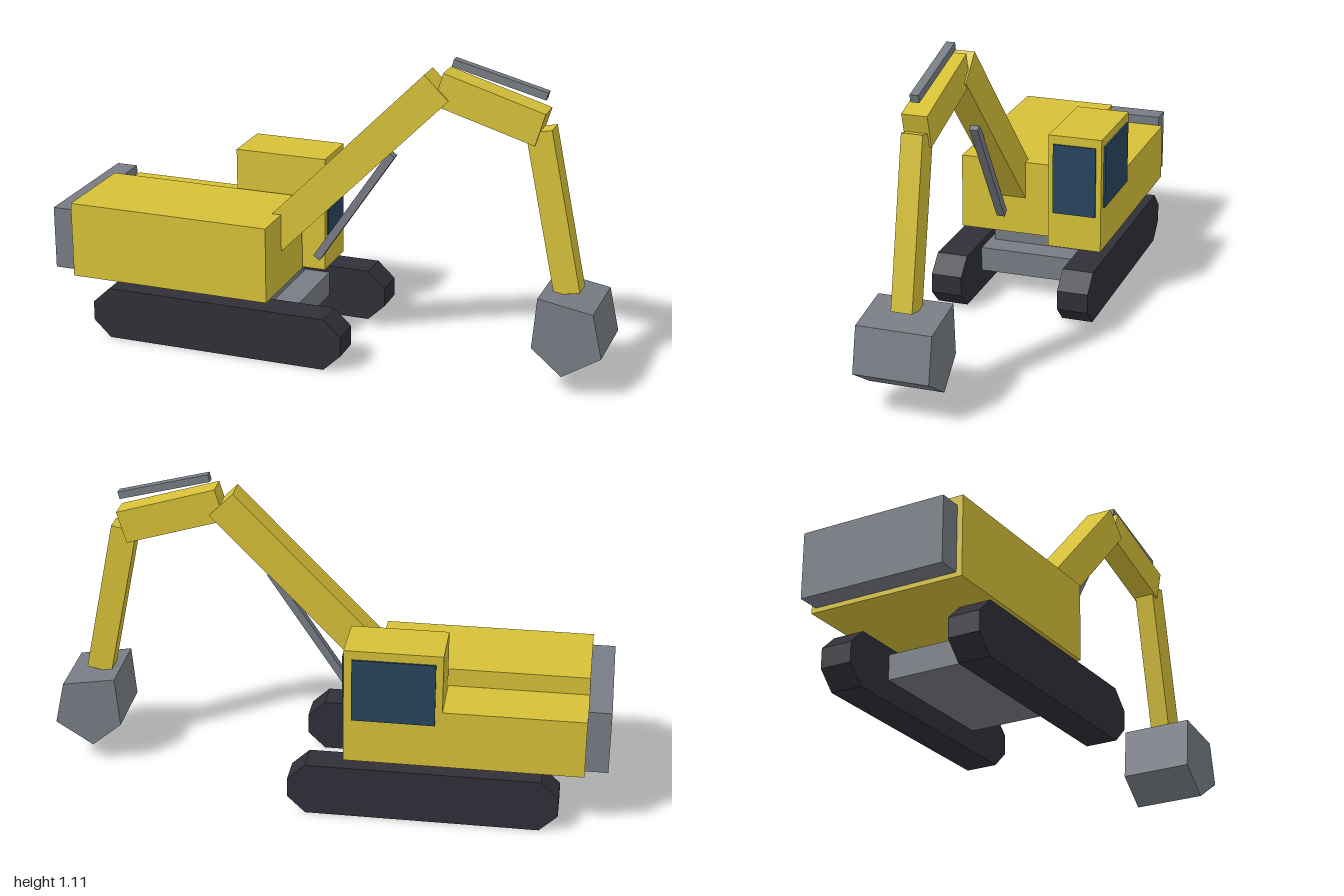
import * as THREE from 'three';

const mat = (name, color) => {
  const m = new THREE.MeshStandardMaterial({ color });
  m.name = name;
  return m;
};

export function createModel() {
  const model = new THREE.Group();
  model.name = 'excavator';
  const yellow = mat('yellow paint', 0xd6c038);
  const steel = mat('grey steel', 0x777c84);
  const rubber = mat('dark track', 0x302f38);
  const glass = mat('blue glass', 0x26455e);
  const armZ = 0.082;

  const add = (name, geometry, material) => {
    const mesh = new THREE.Mesh(geometry, material);
    mesh.name = name;
    model.add(mesh);
    return mesh;
  };

  // Box given by its limits on each axis
  const box = (name, material, [x0, x1], [y0, y1], [z0, z1]) =>
    add(name, new THREE.BoxGeometry(x1 - x0, y1 - y0, z1 - z0), material)
      .position.set((x0 + x1) / 2, (y0 + y1) / 2, (z0 + z1) / 2);

  // Straight bar between two points in the arm's plane
  const bar = (name, material, [x0, y0], [x1, y1], thick, width) => {
    const length = Math.hypot(x1 - x0, y1 - y0);
    const mesh = add(name, new THREE.BoxGeometry(length, thick, width), material);
    mesh.position.set((x0 + x1) / 2, (y0 + y1) / 2, armZ);
    mesh.rotation.z = Math.atan2(y1 - y0, x1 - x0);
  };

  // Side outline given thickness along z
  const slab = (name, material, points, z0, z1) => {
    const shape = new THREE.Shape(points.map(([x, y]) => new THREE.Vector2(x, y)));
    const geometry = new THREE.ExtrudeGeometry(shape, { depth: z1 - z0, bevelEnabled: false });
    add(name, geometry, material).position.z = z0;
  };

  // Undercarriage
  const track = [
    [-0.775, 0], [0.042, 0], [0.105, 0.06], [0.105, 0.13],
    [0.042, 0.189], [-0.775, 0.189], [-0.838, 0.13], [-0.838, 0.06],
  ];
  slab('leftTrack', rubber, track, 0.18, 0.292);
  slab('rightTrack', rubber, track, -0.292, -0.18);
  box('chassis', steel, [-0.625, -0.11], [0.075, 0.164], [-0.18, 0.18]);
  box('turntable', steel, [-0.53, -0.204], [0.164, 0.214], [-0.162, 0.162]);

  // Upper body
  box('engineHouse', yellow, [-0.92, -0.175], [0.214, 0.49], [-0.073, 0.278]);
  box('sideHousing', yellow, [-0.92, -0.43], [0.214, 0.425], [-0.278, -0.073]);
  box('counterweight', steel, [-1, -0.92], [0.23, 0.458], [-0.262, 0.258]);
  box('cab', yellow, [-0.43, -0.09], [0.214, 0.636], [-0.278, -0.082]);
  box('frontWindow', glass, [-0.091, -0.083], [0.345, 0.604], [-0.258, -0.1]);
  box('sideWindow', glass, [-0.405, -0.118], [0.375, 0.604], [-0.285, -0.277]);

  // Arm
  bar('boom', yellow, [-0.26, 0.352], [0.385, 1.01], 0.12, 0.097);
  bar('upperArm', yellow, [0.39, 1.006], [0.743, 0.901], 0.118, 0.087);
  bar('stick', yellow, [0.737, 0.894], [0.853, 0.333], 0.091, 0.073);
  bar('boomCylinder', steel, [-0.056, 0.332], [0.219, 0.746], 0.028, 0.03);
  bar('armCylinder', steel, [0.431, 1.093], [0.755, 1.01], 0.027, 0.03);

  // Bucket
  slab('bucket', steel, [
    [0.775, 0.342], [0.759, 0.16], [0.866, 0.07], [1, 0.155], [0.966, 0.31],
  ], armZ - 0.13, armZ + 0.13);

  return model;
}
